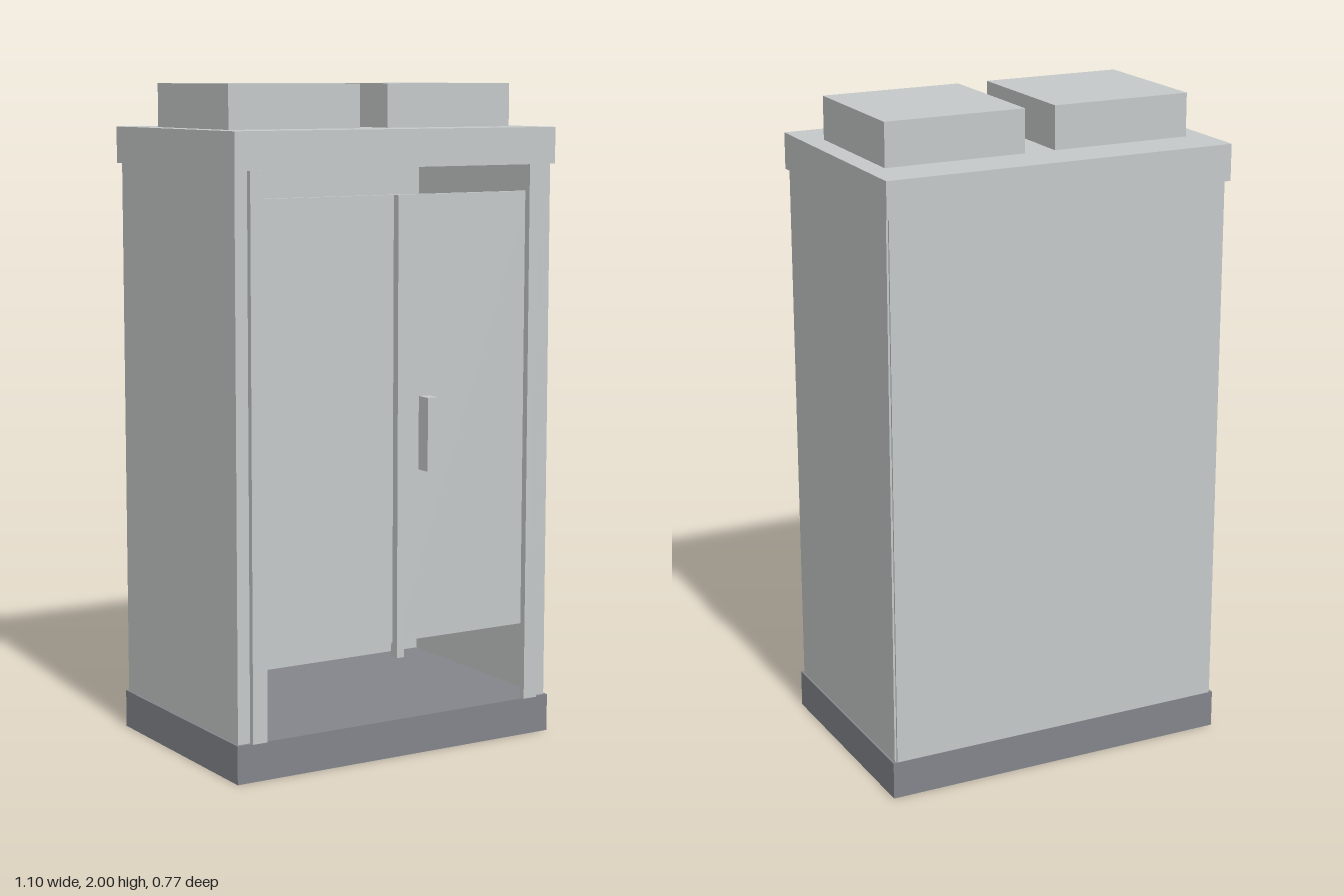
import * as THREE from 'three';

export function createModel() {
  const model = new THREE.Group();
  model.name = 'cabinet';

  const paint = new THREE.MeshStandardMaterial({ color: 0xc4c8c8 });
  paint.name = 'light grey paint';
  const plinth = new THREE.MeshStandardMaterial({ color: 0x83858a });
  plinth.name = 'dark grey plinth';

  // Box given by its extents on each axis
  function box(name, [x0, x1], [y0, y1], [z0, z1], material = paint) {
    const mesh = new THREE.Mesh(new THREE.BoxGeometry(x1 - x0, y1 - y0, z1 - z0), material);
    mesh.position.set((x0 + x1) / 2, (y0 + y1) / 2, (z0 + z1) / 2);
    mesh.name = name;
    model.add(mesh);
  }
  // Same box on both sides of x = 0
  function pair(name, [x0, x1], y, z) {
    box(name + 'Left', [x0, x1], y, z);
    box(name + 'Right', [-x1, -x0], y, z);
  }

  const bodyY = [0.115, 1.76];

  // Plinth and overhanging roof
  box('base', [-0.55, 0.55], [0, 0.115], [-0.373, 0.35], plinth);
  box('roof', [-0.55, 0.55], [1.76, 1.87], [-0.387, 0.355]);

  // Two housings on the roof
  pair('roofHousing', [0.048, 0.486], [1.87, 2], [-0.235, 0.203]);

  // Hollow shell: sides, back and front flanges
  pair('sidePanel', [0.53, 0.543], bodyY, [-0.366, 0.34]);
  box('backPanel', [-0.537, 0.537], bodyY, [-0.372, -0.36]);
  pair('frontFlange', [0.503, 0.53], bodyY, [0.32, 0.34]);

  // Door frame posts, standing proud of the shell
  pair('doorPost', [0.455, 0.503], bodyY, [0.336, 0.358]);

  // Double door, open above and below
  pair('door', [0, 0.47], [0.35, 1.68], [0.318, 0.336]);
  box('doorCentreStrip', [-0.014, 0.012], [0.307, 1.68], [0.33, 0.361]);
  box('handle', [0.076, 0.112], [0.865, 1.085], [0.336, 0.385]);

  return model;
}
